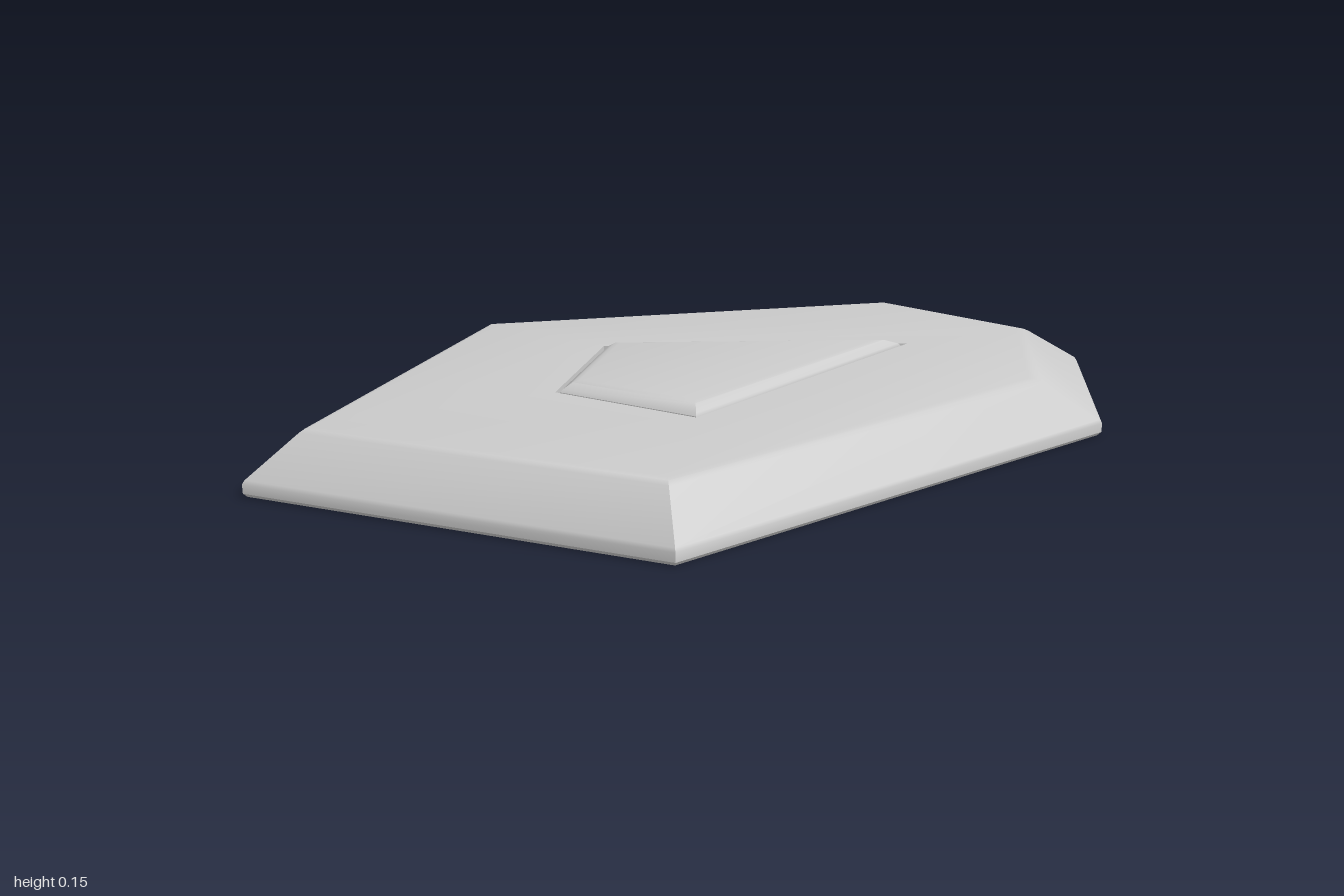
import * as THREE from 'three';
import { mergeGeometries, toCreasedNormals } from 'three/addons/utils/BufferGeometryUtils.js';

// Outlines as [x, depth] corners, counter-clockwise seen from above
const BODY_RIM = [[1, 0], [0.78, 0.4], [-0.34, 0.65], [-1, 0], [-0.34, -0.65], [0.78, -0.4]];
const BODY_TOP = [[0.83, 0], [0.64, 0.33], [-0.31, 0.545], [-0.86, 0], [-0.31, -0.545], [0.64, -0.33]];
const KITE_RIM = [[0.52, 0], [-0.13, 0.265], [-0.34, 0], [-0.13, -0.265]];
const KITE_TOP = [[0.43, 0], [-0.11, 0.215], [-0.285, 0], [-0.11, -0.215]];

// Outline blended between a rim (t = 0) and its inset top (t = 1)
const blend = (rim, top, t) =>
  rim.map(([x, y], i) => new THREE.Vector2(x + (top[i][0] - x) * t, y + (top[i][1] - y) * t));

// Wall through a list of [t, height] rings
function wall(rim, top, rings) {
  const n = rim.length;
  const positions = [];
  const index = [];
  rings.forEach(([t, h]) => blend(rim, top, t).forEach((p) => positions.push(p.x, h, -p.y)));
  for (let r = 0; r < rings.length - 1; r++) {
    for (let i = 0; i < n; i++) {
      const a = r * n + i;
      const b = r * n + ((i + 1) % n);
      index.push(a, b, b + n, a, b + n, a + n);
    }
  }
  const geometry = new THREE.BufferGeometry();
  geometry.setAttribute('position', new THREE.Float32BufferAttribute(positions, 3));
  geometry.setIndex(index);
  geometry.computeVertexNormals();
  return geometry;
}

// Flat face at a height, facing up or down, optionally with an opening
function face(points, height, up = true, opening = null) {
  const shape = new THREE.Shape(points);
  if (opening) shape.holes.push(new THREE.Path(opening));
  const geometry = new THREE.ShapeGeometry(shape);
  geometry.rotateX(up ? -Math.PI / 2 : Math.PI / 2);
  geometry.translate(0, height, 0);
  geometry.deleteAttribute('uv');
  return geometry;
}

function part(name, geometries) {
  const merged = mergeGeometries(geometries.map((g) => g.toNonIndexed()));
  const mesh = new THREE.Mesh(
    toCreasedNormals(merged, 0.6),
    new THREE.MeshStandardMaterial({ color: 0xcccccc })
  );
  mesh.name = name;
  return mesh;
}

export function createModel() {
  const model = new THREE.Group();
  model.name = 'facetedBadge';

  // Faceted body: thin upright rim, sloping bevel, softly rounded upper edge
  const bodyRings = [[0.06, 0], [0, 0.008], [0, 0.028], [0.04, 0.036], [0.86, 0.12], [0.95, 0.127], [1.06, 0.13]];
  model.add(part('body', [
    wall(BODY_RIM, BODY_TOP, bodyRings),
    face(blend(BODY_RIM, BODY_TOP, 0.06), 0, false),
    face(blend(BODY_RIM, BODY_TOP, 1.06), 0.13, true, blend(KITE_RIM, KITE_TOP, 0)),
  ]));

  // Narrow groove around the raised kite
  model.add(part('groove', [
    wall(KITE_RIM, KITE_TOP, [[0, 0.13], [0, 0.115], [0.2, 0.115]]),
  ]));

  // Raised kite panel with a bevelled edge
  model.add(part('kitePanel', [
    wall(KITE_RIM, KITE_TOP, [[0.2, 0.115], [0.2, 0.128], [0.3, 0.134], [0.72, 0.147], [1, 0.15]]),
    face(blend(KITE_RIM, KITE_TOP, 1), 0.15),
  ]));

  return model;
}
